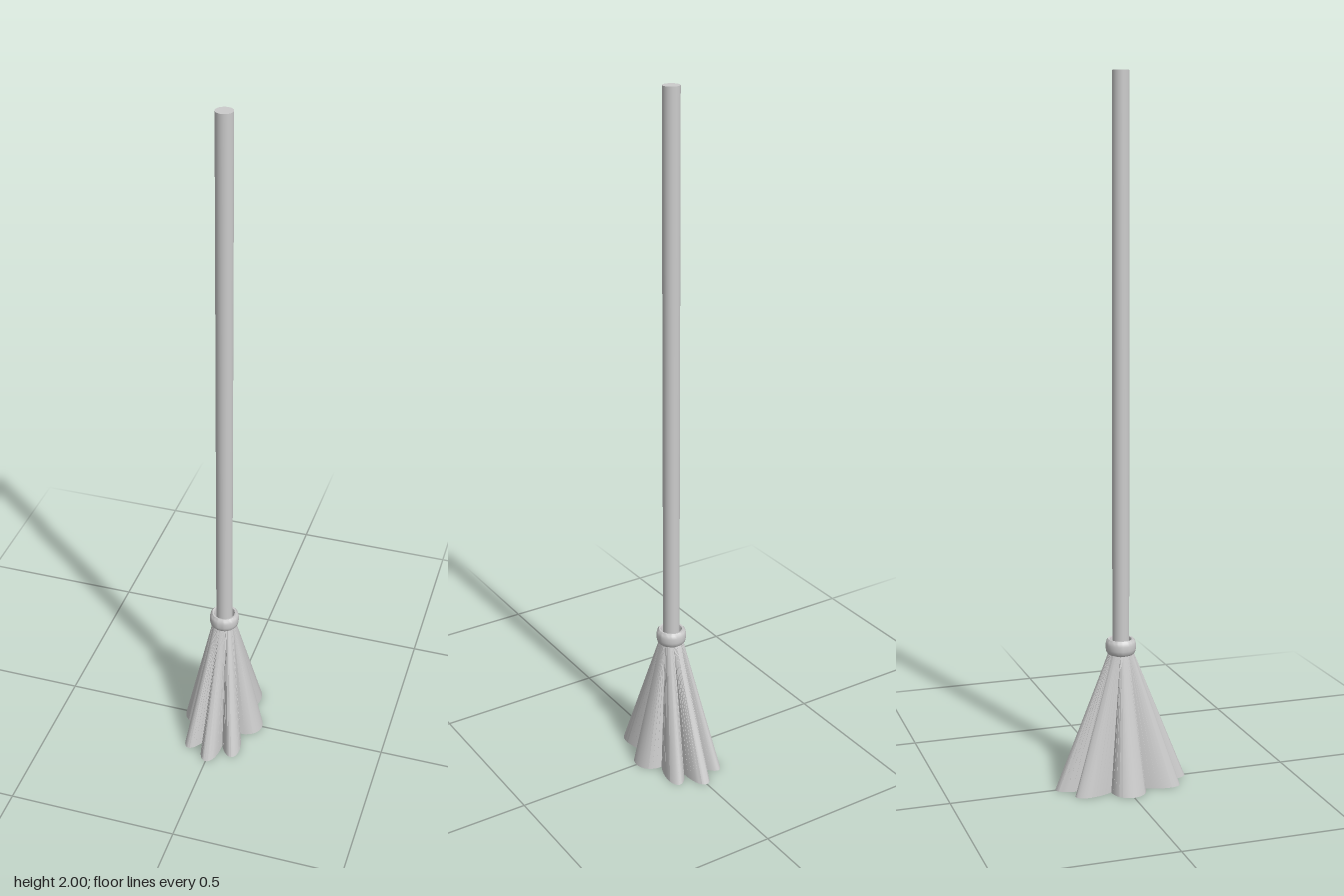
import * as THREE from 'three';
import { toCreasedNormals } from 'three/addons/utils/BufferGeometryUtils.js';

const grey = () => new THREE.MeshStandardMaterial({ color: 0xcccccc });

function addPart(group, name, geometry) {
  const mesh = new THREE.Mesh(geometry, grey());
  mesh.name = name;
  group.add(mesh);
}

// Eight rounded lobes at the floor, drawn together into a circle at the collar
function bristleGeometry(topRadius, height, steps) {
  const tips = [[0.123, 0], [0.08, 0.146], [0, 0.195], [-0.08, 0.146],
    [-0.123, 0], [-0.08, -0.146], [0, -0.195], [0.08, -0.146]];
  const notches = [[0.066, -0.05], [0.066, 0.05], [0.03, 0.118], [-0.03, 0.118],
    [-0.066, 0.05], [-0.066, -0.05], [-0.03, -0.118], [0.03, -0.118]];
  const pos = [], index = [];
  const add = (x, y, z) => pos.push(x, y, z) / 3 - 1;

  tips.forEach((tip, k) => {
    const a = new THREE.Vector2(...notches[k]);
    const b = new THREE.Vector2(...notches[(k + 1) % 8]);
    const reach = new THREE.Vector2(...tip)
      .sub(a.clone().add(b).multiplyScalar(0.5)).multiplyScalar(4 / 3);
    const lobe = new THREE.CubicBezierCurve(a, a.clone().add(reach), b.clone().add(reach), b);
    const bottomCentre = add(0, 0, 0), topCentre = add(0, height, 0);
    let last = null;
    for (let i = 0; i <= steps; i++) {
      const p = lobe.getPoint(i / steps);
      const angle = (k - 0.5 + i / steps) * Math.PI / 4;
      const x = topRadius * Math.cos(angle), z = topRadius * Math.sin(angle);
      const low = add(p.x, 0, p.y), high = add(x, height, z);
      if (last) {
        index.push(last.low, last.high, low, low, last.high, high);
        index.push(bottomCentre, last.low, low, topCentre, high, last.high);
      }
      last = { low, high };
    }
  });

  const g = new THREE.BufferGeometry();
  g.setAttribute('position', new THREE.Float32BufferAttribute(pos, 3));
  g.setIndex(index);
  return toCreasedNormals(g, 0.6);
}

export function createModel() {
  const broom = new THREE.Group();
  broom.name = 'broom';

  // Long round handle
  const handle = new THREE.CylinderGeometry(0.024, 0.024, 1.62, 32);
  handle.translate(0, 1.19, 0);
  addPart(broom, 'handle', handle);

  // Rounded binding collar, open around the handle
  const profile = [[0.029, 0.388], [0.036, 0.385], [0.041, 0.391], [0.043, 0.4], [0.043, 0.414],
    [0.041, 0.423], [0.036, 0.429], [0.031, 0.428], [0.029, 0.423], [0.029, 0.388]]
    .map(([r, y]) => new THREE.Vector2(r, y));
  addPart(broom, 'collar', toCreasedNormals(new THREE.LatheGeometry(profile, 40), 0.7));

  // Flared bristle bundle
  addPart(broom, 'bristles', bristleGeometry(0.032, 0.4, 14));

  return broom;
}
